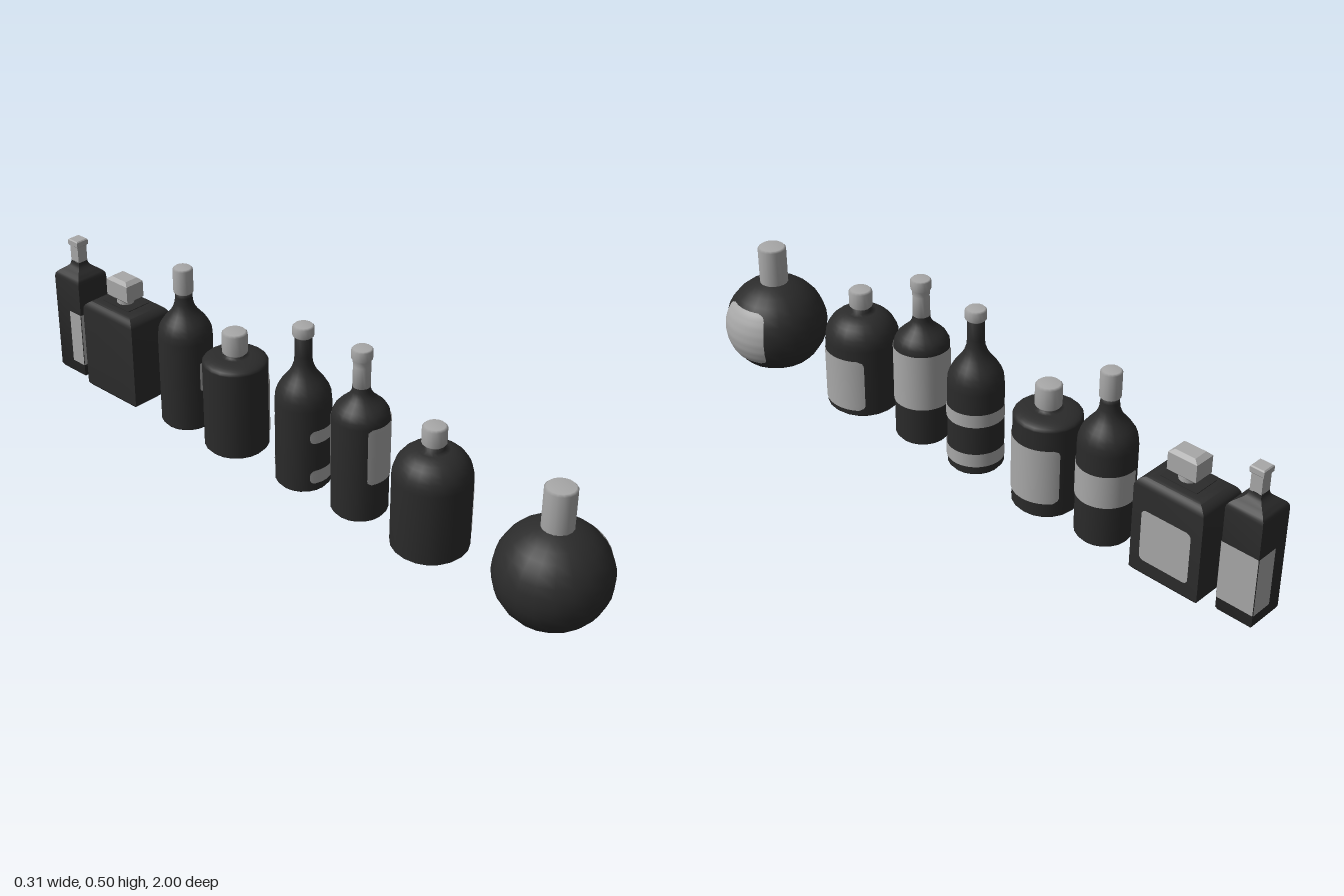
import * as THREE from 'three';
import { toCreasedNormals } from 'three/addons/utils/BufferGeometryUtils.js';

const glass = new THREE.MeshStandardMaterial({ color: 0x2b2b2b });
glass.name = 'dark glass';
const pale = new THREE.MeshStandardMaterial({ color: 0xa8a8a8, side: THREE.DoubleSide });
pale.name = 'pale grey';

const vec = (x, y) => new THREE.Vector2(x, y);

function add(group, name, geometry, material) {
  const mesh = new THREE.Mesh(geometry, material);
  mesh.name = name;
  group.add(mesh);
}

function addGroup(parent, name, z) {
  const group = new THREE.Group();
  group.name = name;
  group.position.z = z;
  parent.add(group);
  return group;
}

// Four-sided part from a profile of half widths; depth stretches it along z
function squared(profile, depth = 1) {
  const corners = profile.map((p) => vec(p.x * Math.SQRT2, p.y));
  const geo = new THREE.LatheGeometry(corners, 4, Math.PI / 4);
  geo.scale(1, 1, depth);
  return toCreasedNormals(geo, 0.6);
}

// Block with softened rims, of radius r between y0 and y1
const softProfile = (r, y0, y1, soft) => [
  vec(0, y0), vec(r - soft, y0), vec(r, y0 + soft), vec(r, y1 - soft), vec(r - soft, y1), vec(0, y1),
];

// Straight body with a curved shoulder; bend sets the curve's two inner points
function bodyProfile(r, shoulder, neck, neckY, top, bend) {
  const curve = new THREE.CubicBezierCurve(vec(r, shoulder), ...bend, vec(neck, neckY));
  return [vec(0, 0), vec(r * 0.91, 0), vec(r, 0.009), ...curve.getPoints(8), vec(neck, top), vec(0, top)];
}

// Long sloping shoulder that flows into the neck
function slopedBody(r, shoulder, neck, neckY, top) {
  const mid = (shoulder + neckY) / 2;
  return bodyProfile(r, shoulder, neck, neckY, top, [vec(r, mid), vec(neck, mid)]);
}

// Rounded shoulder that turns flat under the neck
function flaskBody(r, shoulder, neck, neckY, top) {
  const y = shoulder + (neckY - shoulder) * 0.55;
  return bodyProfile(r, shoulder, neck, neckY, top, [vec(r, y), vec(neck + (r - neck) * 0.55, neckY)]);
}

// Globe with a flat base
function globeBody(r, centre, height) {
  const profile = [vec(0, 0)];
  for (let i = 0; i <= 12; i++) {
    const a = THREE.MathUtils.degToRad(-47 + i * 11.4);
    profile.push(vec(r * Math.cos(a), Math.max(0, centre + height * Math.sin(a))));
  }
  return profile;
}

function radiusAt(profile, y) {
  const i = profile.findIndex((p, k) => k > 0 && p.y > profile[k - 1].y && p.y >= y);
  const a = profile[i - 1], b = profile[i];
  return a.x + (b.x - a.x) * (y - a.y) / (b.y - a.y);
}

// Round-cornered label following the glass, centred on +x
function wrapLabel(profile, y0, y1, halfDegrees, corner) {
  const geo = new THREE.PlaneGeometry(2, 1, 32, 24);
  const pos = geo.attributes.position;
  for (let i = 0; i < pos.count; i++) {
    const y = y0 + (pos.getY(i) + 0.5) * (y1 - y0);
    const r = radiusAt(profile, y) + 0.002;
    const gap = Math.max(0, corner - Math.min(y - y0, y1 - y));
    const cut = corner - Math.sqrt(Math.max(0, corner * corner - gap * gap));
    const phi = Math.PI / 2 + pos.getX(i) * (THREE.MathUtils.degToRad(halfDegrees) - cut / r);
    pos.setXYZ(i, r * Math.sin(phi), y, r * Math.cos(phi));
  }
  geo.computeVertexNormals();
  return geo;
}

// Flat round-cornered label standing at the given distance, turned about y
function flatLabel(w, y0, y1, c, offset, distance, turn) {
  const x0 = offset - w / 2, x1 = offset + w / 2, s = new THREE.Shape();
  s.absarc(x1 - c, y1 - c, c, 0, Math.PI / 2);
  s.absarc(x0 + c, y1 - c, c, Math.PI / 2, Math.PI);
  s.absarc(x0 + c, y0 + c, c, Math.PI, Math.PI * 1.5);
  s.absarc(x1 - c, y0 + c, c, Math.PI * 1.5, Math.PI * 2);
  return new THREE.ShapeGeometry(s, 4).translate(0, 0, distance).rotateY(turn);
}

// Round bottle: turned glass and a turned cap
function roundBottle(parent, name, z, body, cap) {
  const bottle = addGroup(parent, name, z);
  add(bottle, 'body', new THREE.LatheGeometry(body, 20), glass);
  add(bottle, 'cap', new THREE.LatheGeometry(cap, 16), pale);
  return (...label) => add(bottle, 'label', wrapLabel(body, ...label), pale);
}

export function createModel() {
  const model = new THREE.Group();
  model.name = 'bottleRow';

  const globeLabel = roundBottle(model, 'globeBottle', 0.843,
    globeBody(0.156, 0.108, 0.148), softProfile(0.043, 0.24, 0.367, 0.006));
  globeLabel(0.032, 0.2, 35, 0.02);

  const flaskLabel = roundBottle(model, 'wideFlask', 0.45,
    flaskBody(0.108, 0.22, 0.028, 0.303, 0.33), softProfile(0.034, 0.315, 0.372, 0.006));
  flaskLabel(0.025, 0.192, 49, 0.02);

  // Long pale neck with a wider lip
  const tallCap = softProfile(0.029, 0.468, 0.501, 0.004);
  tallCap.splice(0, 2, vec(0, 0.388), vec(0.025, 0.388), vec(0.024, 0.45), vec(0.025, 0.466));
  const tallLabel = roundBottle(model, 'tallNeckBottle', 0.2,
    slopedBody(0.08, 0.295, 0.024, 0.39, 0.392), tallCap);
  tallLabel(0.122, 0.295, 125, 0.012);

  const band = roundBottle(model, 'bandedBottle', -0.01,
    slopedBody(0.08, 0.26, 0.024, 0.4, 0.46), softProfile(0.03, 0.456, 0.491, 0.005));
  band(0.16, 0.2, 124, 0.015);
  band(0.03, 0.072, 124, 0.015);

  const squatLabel = roundBottle(model, 'squatFlask', -0.275,
    flaskBody(0.095, 0.275, 0.03, 0.297, 0.31), softProfile(0.037, 0.302, 0.372, 0.006));
  squatLabel(0.05, 0.22, 62, 0.018);

  const slenderLabel = roundBottle(model, 'slenderBottle', -0.48,
    slopedBody(0.08, 0.285, 0.025, 0.41, 0.425), softProfile(0.029, 0.42, 0.501, 0.005));
  slenderLabel(0.13, 0.227, 105, 0.01);

  // Rectangular decanter with a chamfered stopper
  const decanter = addGroup(model, 'decanter', -0.738);
  add(decanter, 'body', squared(flaskBody(0.077, 0.262, 0.04, 0.297, 0.299), 1.41), glass);
  add(decanter, 'neck', new THREE.CylinderGeometry(0.026, 0.026, 0.026, 12).translate(0, 0.306, 0), pale);
  add(decanter, 'stopper', squared(softProfile(0.032, 0.31, 0.381, 0.01), 1.4), pale);
  add(decanter, 'label', flatLabel(0.154, 0.05, 0.205, 0.015, 0, 0.079, Math.PI / 2), pale);

  // Square bottle with a slim neck and lip
  const square = addGroup(model, 'squareBottle', -0.944);
  add(square, 'body', squared(slopedBody(0.055, 0.315, 0.017, 0.366, 0.368)), glass);
  add(square, 'neck', squared(softProfile(0.017, 0.36, 0.424, 0.001)), pale);
  add(square, 'lip', squared(softProfile(0.021, 0.417, 0.438, 0.003)), pale);

  // Its label runs round the corners, ending part way across two sides
  const addPanel = (w, offset, turn) =>
    add(square, 'label', flatLabel(w, 0.042, 0.215, 0.002, offset, 0.0565, turn), pale);
  addPanel(0.11, 0, 0);
  addPanel(0.11, 0, Math.PI / 2);
  addPanel(0.066, -0.022, Math.PI);
  addPanel(0.05, 0.03, -Math.PI / 2);

  return model;
}
